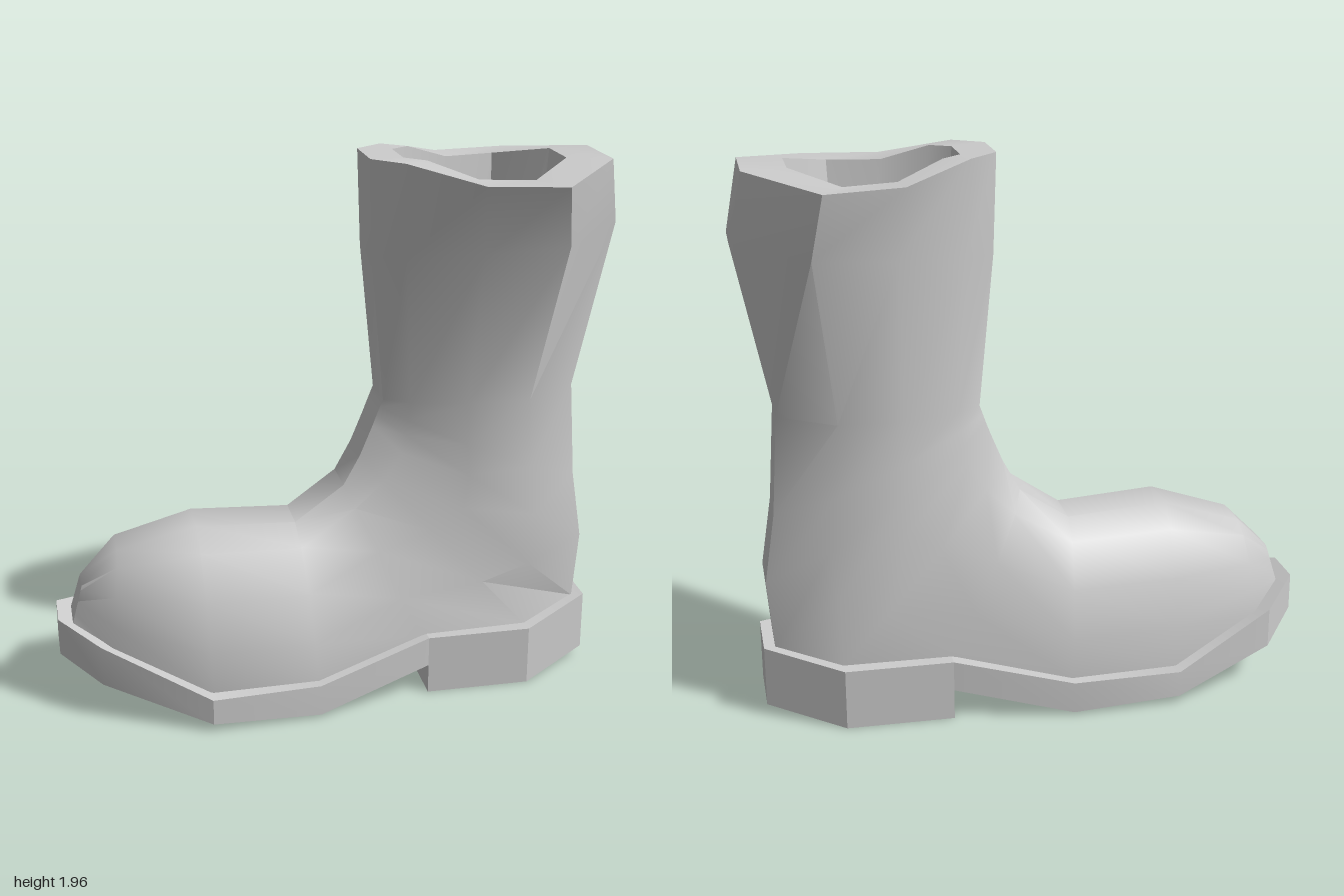
import * as THREE from 'three';
import { toCreasedNormals } from 'three/addons/utils/BufferGeometryUtils.js';

const material = new THREE.MeshStandardMaterial({ color: 0xcccccc });

// Skin a list of closed rings of [x, y, z] points, optionally capping the ends
function loft(rings, capStart, capEnd, crease) {
  const n = rings[0].length;
  const positions = rings.flat(2);
  const index = [];
  for (let i = 0; i < rings.length - 1; i++) {
    for (let j = 0; j < n; j++) {
      const a = i * n + j, b = i * n + (j + 1) % n;
      index.push(a, b, b + n, a, b + n, a + n);
    }
  }
  const last = (rings.length - 1) * n;
  for (let k = 1; k < n - 1; k++) {
    if (capStart) index.push(0, k + 1, k);
    if (capEnd) index.push(last, last + k, last + k + 1);
  }
  const geometry = new THREE.BufferGeometry();
  geometry.setAttribute('position', new THREE.Float32BufferAttribute(positions, 3));
  geometry.setIndex(index);
  return toCreasedNormals(geometry, crease);
}

function addMesh(group, name, geometry) {
  const mesh = new THREE.Mesh(geometry, material);
  mesh.name = name;
  group.add(mesh);
}

// Ring from a front/top point to a back/bottom point, with half widths along the way
const STEPS = [0, 0.12, 0.4, 0.72, 1];
function ring([x0, y0], [x1, y1], zc, widths, lift = [0, 0, 0, 0, 0]) {
  const side = (s) => STEPS.map((t, i) => [
    x0 + (x1 - x0) * t, y0 + (y1 - y0) * t + lift[i], zc + s * widths[i],
  ]);
  return [...side(1), ...side(-1).reverse()];
}

// Rectangular section of the sole: x, z range, y range
const section = ([x, z0, z1, y0, y1]) => [[x, y1, z1], [x, y0, z1], [x, y0, z0], [x, y1, z0]];

export function createModel() {
  const boot = new THREE.Group();
  boot.name = 'boot';

  // Upper: rings run from the toe, fan round the instep and climb the shaft
  const rimLift = [0, 0, -0.05, -0.045, 0];
  const rimOuter = ring([0.11, 1.96], [0.95, 1.935], 0.01, [0.1, 0.19, 0.33, 0.38, 0.13], rimLift);
  const rimInner = ring([0.23, 1.955], [0.8, 1.935], 0, [0.08, 0.135, 0.21, 0.25, 0.09], rimLift);
  const upper = [
    ring([-0.91, 0.45], [-0.95, 0.31], -0.045, [0.05, 0.055, 0.06, 0.065, 0.07]),
    ring([-0.78, 0.58], [-0.82, 0.25], -0.055, [0.07, 0.13, 0.18, 0.2, 0.2]),
    ring([-0.5, 0.665], [-0.48, 0.12], -0.03, [0.08, 0.18, 0.265, 0.31, 0.32]),
    ring([-0.14, 0.645], [-0.1, 0.12], -0.04, [0.08, 0.17, 0.25, 0.31, 0.32]),
    ring([0.04, 0.77], [0.3, 0.215], -0.05, [0.08, 0.15, 0.2, 0.23, 0.235]),
    ring([0.1, 0.88], [0.7, 0.215], -0.05, [0.08, 0.15, 0.2, 0.215, 0.22]),
    ring([0.145, 0.99], [0.925, 0.25], -0.05, [0.08, 0.145, 0.2, 0.21, 0.09]),
    ring([0.16, 1.03], [0.945, 0.5], -0.05, [0.08, 0.14, 0.2, 0.205, 0.09]),
    ring([0.17, 1.06], [0.905, 0.75], -0.045, [0.08, 0.14, 0.2, 0.2, 0.085]),
    ring([0.18, 1.09], [0.88, 1.1], -0.04, [0.08, 0.14, 0.2, 0.205, 0.08]),
    ring([0.125, 1.62], [1.0, 1.7], -0.015, [0.09, 0.17, 0.27, 0.32, 0.085]),
    rimOuter,
    rimInner,
  ];
  addMesh(boot, 'upper', loft(upper, true, false, 0.75));

  // Lining: tapers down to a closed floor inside the shaft
  const floor = ring([0.3, 1.1], [0.74, 1.1], -0.02, [0.065, 0.1, 0.125, 0.135, 0.04]);
  addMesh(boot, 'lining', loft([rimInner, floor], false, true, 0.75));

  // Sole: rises at the toe and over the arch
  const sole = [
    [-1, -0.13, 0.03, 0.2, 0.335],
    [-0.86, -0.29, 0.17, 0.135, 0.28],
    [-0.49, -0.4, 0.345, 0.03, 0.125],
    [-0.1, -0.4, 0.32, 0.01, 0.125],
    [0.32, -0.33, 0.22, 0.11, 0.22],
  ];
  addMesh(boot, 'sole', loft(sole.map(section), true, true, 0.5));

  // Heel block
  const heel = [
    [0.32, -0.33, 0.22, 0, 0.22],
    [0.7, -0.32, 0.22, 0, 0.22],
    [0.965, -0.16, 0.06, 0.04, 0.26],
  ];
  addMesh(boot, 'heel', loft(heel.map(section), true, true, 0.5));

  return boot;
}
